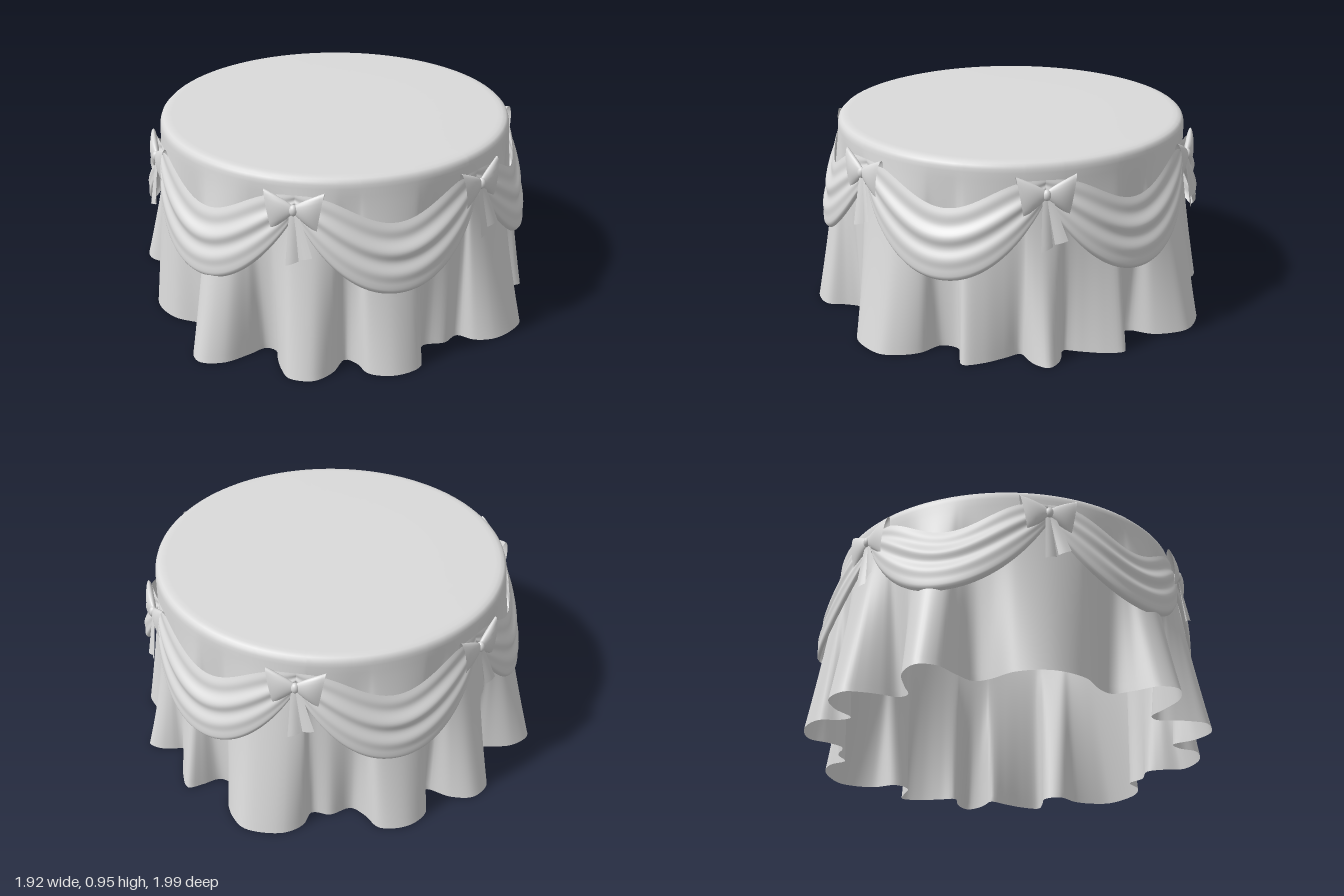
import * as THREE from 'three';

const linen = new THREE.MeshStandardMaterial({ color: 0xdadada, side: THREE.DoubleSide });
linen.name = 'linen';

const CENTER_X = -0.02;
const RIM = 0.86;

// Smooth grid surface from f(u, v, i, j) -> [x, y, z]; closed wraps the i direction
function surface(name, ni, nj, closed, f) {
  const pos = [], idx = [];
  const cols = closed ? ni : ni + 1;
  for (let j = 0; j <= nj; j++)
    for (let i = 0; i < cols; i++) pos.push(...f(i / ni, j / nj, i, j));
  for (let j = 0; j < nj; j++)
    for (let i = 0; i < ni; i++) {
      const a = j * cols + i, b = j * cols + (i + 1) % cols;
      const c = a + cols, d = b + cols;
      idx.push(a, b, c, b, d, c);
    }
  const g = new THREE.BufferGeometry();
  g.setAttribute('position', new THREE.Float32BufferAttribute(pos, 3));
  g.setIndex(idx);
  g.computeVertexNormals();
  const mesh = new THREE.Mesh(g, linen);
  mesh.name = name;
  return mesh;
}

// Wavy hem: [angle in degrees, radius] for one half, mirrored in z
const HEM = [
  [0, 0.985], [3, 0.95], [5, 0.895], [7, 0.83], [12, 0.87], [18, 0.93], [23.5, 0.965],
  [25.5, 0.9], [28, 0.81], [34, 0.81], [37.5, 0.92], [42.5, 0.995], [47, 1.03], [57, 1.0],
  [62, 0.93], [64, 0.84], [70, 0.85], [77, 0.81], [81, 0.87], [84, 0.965], [92, 0.995],
  [99, 0.95], [101.5, 0.86], [105, 0.82], [109, 0.93], [114, 1.005], [120.5, 1.0],
  [123.5, 0.94], [126.5, 0.86], [129, 0.79], [133, 0.785], [136, 0.87], [140, 0.99],
  [145.5, 1.05], [150, 1.01], [153, 0.9], [157, 0.81], [162, 0.82], [170, 0.9], [180, 0.935],
];

function makeCloth() {
  const mirrored = HEM.slice(1, -1).reverse().map(([a, r]) => [360 - a, r]);
  const points = [...HEM, ...mirrored].map(([a, r]) => {
    const t = THREE.MathUtils.degToRad(a);
    return new THREE.Vector3(r * Math.cos(t), 0, r * Math.sin(t));
  });
  const n = 440;
  const hem = new THREE.CatmullRomCurve3(points, true).getSpacedPoints(n);
  // flat top and rounded rim, then the hanging skirt
  const rim = [[0, 0.95], [0.4, 0.95], [0.8, 0.95], [0.825, 0.949], [0.843, 0.943],
    [0.853, 0.933], [0.858, 0.918], [RIM, 0.9]];
  const drop = 26;
  return surface('tablecloth', n, rim.length - 1 + drop, true, (u, v, i, j) => {
    const h = hem[i];
    const a = Math.atan2(h.z, h.x);
    if (j < rim.length) {
      const [r, y] = rim[j];
      return [r * Math.cos(a), y, r * Math.sin(a)];
    }
    const t = (j - rim.length + 1) / drop;
    // folds open gradually; the one at +x flares late
    const f = t ** (1.25 + 0.75 * Math.max(0, Math.cos(a)) ** 20);
    return [
      THREE.MathUtils.lerp(RIM * Math.cos(a), h.x, f),
      0.9 * (1 - t),
      THREE.MathUtils.lerp(RIM * Math.sin(a), h.z, f),
    ];
  });
}

// Draped swag spanning 60 degrees, with folds that gather at both ends
function makeSwag(mid) {
  return surface('swag', 48, 40, false, (u, v) => {
    const s = 2 * u - 1, e = Math.abs(s);
    const a = mid + s * Math.PI / 6;
    const belly = 1 - e * e;
    const top = 0.73 + 0.07 * (1 - Math.cos(Math.PI * Math.min(1, e / 0.88)));
    const bottom = 0.4 + 0.37 * e ** 2.1;
    const fold = Math.sin(v * Math.PI * 6 + 0.6) * (0.003 + 0.006 * belly)
      * Math.sin(Math.PI * Math.min(1, v * 1.15));
    const lip = v > 0.93 ? -0.015 * ((v - 0.93) / 0.07) ** 2 : 0;
    const r = 0.873 + 0.013 * belly * (1 - v)
      + 0.08 * belly ** 0.7 * Math.sin(v * 1.57) + fold + lip;
    return [r * Math.cos(a), THREE.MathUtils.lerp(top, bottom, v), r * Math.sin(a)];
  });
}

// Bow facing +z with its knot at the origin
function makeBow() {
  const bow = new THREE.Group();
  bow.name = 'bow';
  const knot = new THREE.Mesh(new THREE.SphereGeometry(0.022, 16, 12), linen);
  knot.name = 'bowKnot';
  knot.scale.set(0.9, 1.2, 0.9);
  knot.position.z = 0.012;
  bow.add(knot);
  for (const side of [-1, 1]) {
    // flared loop, hollow at its outer end
    bow.add(surface('bowLoop', 20, 10, true, (u, v) => {
      const t = u * Math.PI * 2;
      const h = 0.016 + 0.082 * v ** 0.85;
      const d = 0.01 + 0.014 * Math.sin(v * 2.4);
      const y = Math.sin(t) * h;
      const x = 0.12 * v + y * 0.18 * v;
      return [side * x, y - 0.01 * v, Math.cos(t) * d - x * x * 0.7 + 0.008];
    }));
    // ribbon tail, widening and leaning away from the cloth
    const length = side < 0 ? 0.25 : 0.22;
    const lean = side < 0 ? 0.005 : 0.055;
    bow.add(surface('bowTail', 6, 10, false, (u, v) => {
      const w = 0.012 + 0.02 * v;
      const k = u - 0.5;
      return [
        lean * v + side * 0.008 + k * 1.8 * w,
        -length * v + k * 0.02 * v,
        0.01 + 0.03 * v + 0.006 * Math.cos(k * Math.PI) * v + side * k * 0.015 * v,
      ];
    }));
  }
  return bow;
}

export function createModel() {
  const model = new THREE.Group();
  model.name = 'drapedRoundTable';
  const table = new THREE.Group();
  table.name = 'tableDressing';
  table.position.x = CENTER_X;
  table.add(makeCloth());
  for (let k = 0; k < 6; k++) {
    const a = k * Math.PI / 3;
    table.add(makeSwag(a + Math.PI / 6));
    const bow = makeBow();
    bow.position.set(0.89 * Math.cos(a), 0.81, 0.89 * Math.sin(a));
    bow.rotation.y = Math.PI / 2 - a;
    table.add(bow);
  }
  model.add(table);
  return model;
}
